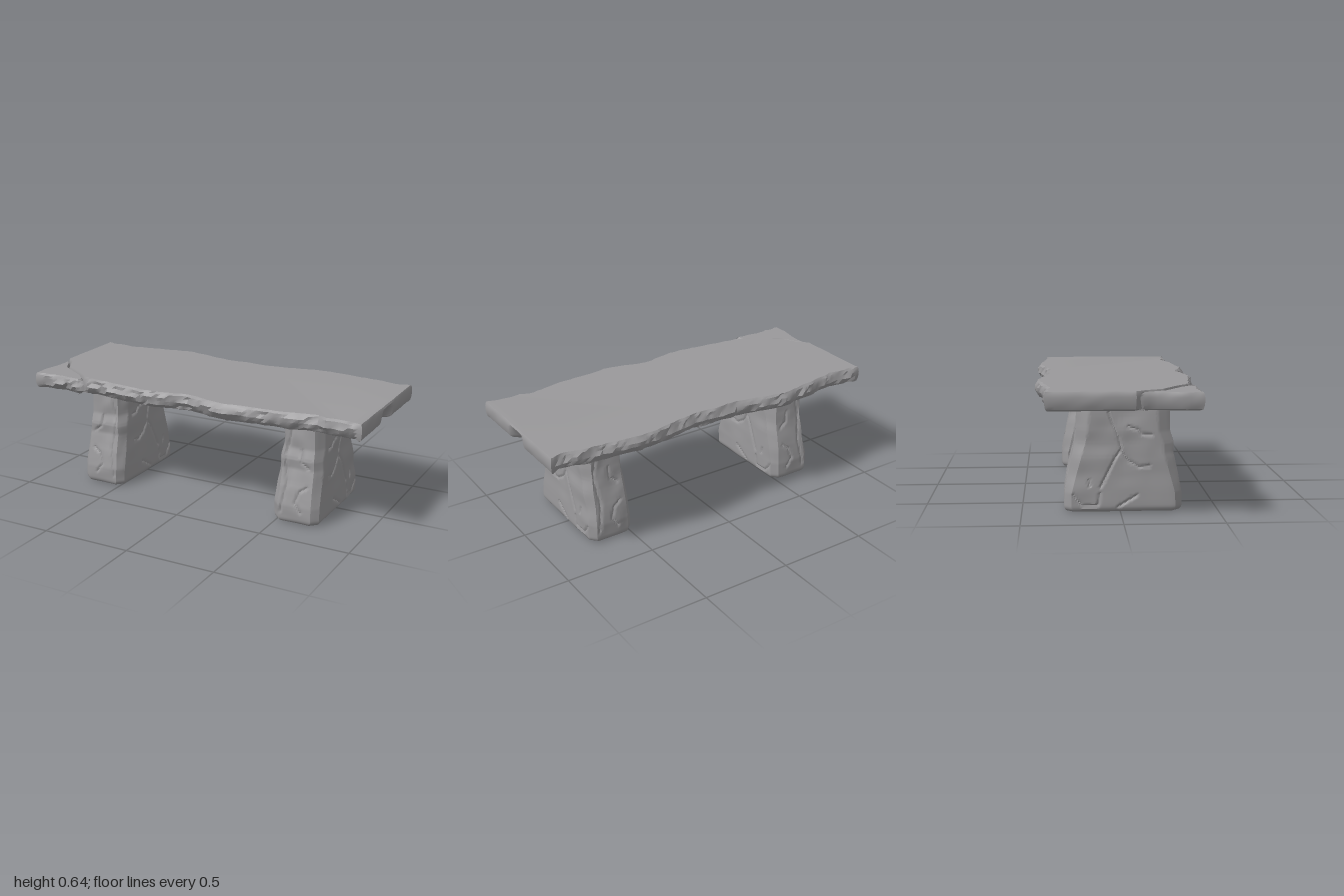
import * as THREE from 'three';
import { toCreasedNormals } from 'three/addons/utils/BufferGeometryUtils.js';

const stone = new THREE.MeshStandardMaterial({ color: 0x9a999b });
stone.name = 'grey stone';

const { lerp, clamp, smoothstep } = THREE.MathUtils;
const hash = (a, b) => {
  const s = Math.sin(a * 127.1 + b * 311.7) * 43758.5453;
  return (s - Math.floor(s)) * 2 - 1;
};
// Smooth 2D noise in -1..1
function noise(x, y) {
  const i = Math.floor(x), j = Math.floor(y);
  const u = smoothstep(x - i, 0, 1), v = smoothstep(y - j, 0, 1);
  return lerp(lerp(hash(i, j), hash(i + 1, j), u), lerp(hash(i, j + 1), hash(i + 1, j + 1), u), v);
}

// Skin of stacked rings (bottom to top, clockwise seen from above) with both ends closed
function loft(name, rings, crease) {
  const n = rings[0].length, pos = [], index = [];
  rings.forEach(r => r.forEach(p => pos.push(p.x, p.y, p.z)));
  for (let i = 0; i < rings.length - 1; i++) {
    for (let j = 0; j < n; j++) {
      const a = i * n + j, b = i * n + (j + 1) % n;
      index.push(a, a + n, b, b, a + n, b + n);
    }
  }
  for (const [k, up] of [[0, false], [rings.length - 1, true]]) {
    const flat = rings[k].map(p => new THREE.Vector2(p.x, p.z));
    for (const [a, b, c] of THREE.ShapeUtils.triangulateShape(flat, [])) {
      const area = THREE.ShapeUtils.area([flat[a], flat[b], flat[c]]);
      const t = (area < 0) === up ? [a, b, c] : [a, c, b];
      index.push(...t.map(q => q + k * n));
    }
  }
  const geo = new THREE.BufferGeometry();
  geo.setAttribute('position', new THREE.Float32BufferAttribute(pos, 3));
  geo.setIndex(index);
  const mesh = new THREE.Mesh(toCreasedNormals(geo, crease), stone);
  mesh.name = name;
  return mesh;
}

// Split every side of a closed outline into short steps
function resample(points, step) {
  const out = [];
  points.forEach(([x, z], i) => {
    const [x2, z2] = points[(i + 1) % points.length];
    const n = Math.max(1, Math.round(Math.hypot(x2 - x, z2 - z) / step));
    for (let k = 0; k < n; k++) out.push([lerp(x, x2, k / n), lerp(z, z2, k / n)]);
  });
  return out;
}

// Slab piece: height, inset on the long rough edges, inset on the ends, inset on the fracture
const slabRings = [
  [0.55, 0.04, 0.022, 0], [0.558, 0.026, 0.01, 0], [0.575, 0.01, 0.004, 0], [0.598, 0, 0, 0],
  [0.618, 0.004, 0, 0], [0.635, 0.01, 0.003, 0.002], [0.645, 0.02, 0.008, 0.006],
];
function slab(name, outline, drop) {
  const pts = resample(outline, 0.024), n = pts.length;
  const rings = slabRings.map(([y, rough, end, crack], level) => pts.map(([x, z], j) => {
    const p = pts[(j + n - 1) % n], q = pts[(j + 1) % n];
    const len = Math.hypot(q[0] - p[0], q[1] - p[1]);
    const nx = (q[1] - p[1]) / len, nz = -(q[0] - p[0]) / len;
    let inset = crack;
    if (Math.abs(x) > 0.97) {
      // broad scoop broken out of the lower edge at one end
      const scoop = x > 0 ? smoothstep(z, -0.06, -0.03) * (1 - smoothstep(z, 0.05, 0.105)) : 0;
      inset = end + 0.002 * noise(z * 14, y * 30) + 0.05 * scoop * clamp((0.635 - y) / 0.075, 0, 1);
    } else if (Math.abs(z) > 0.355) {
      const chip = 0.009 * noise(x * 22 + y * 20, y * 45 + z * 3) + 0.005 * hash(Math.floor(x * 28), level + z);
      inset = rough + chip * (level === 0 || level === 6 ? 0.6 : 1);
    }
    return new THREE.Vector3(x - nx * inset, y - drop * (y - 0.55) / 0.095, z - nz * inset);
  }));
  return loft(name, rings, 0.5);
}

const backEdge = [[-0.998, -0.38], [-0.9, -0.385], [-0.8, -0.372], [-0.61, -0.405], [-0.42, -0.432], [-0.32, -0.418],
  [-0.21, -0.392], [-0.13, -0.378], [0, -0.38], [0.14, -0.372], [0.25, -0.388], [0.4, -0.418], [0.49, -0.432],
  [0.65, -0.412], [0.83, -0.392], [0.91, -0.378], [0.998, -0.38]];
const frontEdge = [[0.998, 0.392], [0.9, 0.385], [0.8, 0.385], [0.75, 0.37], [0.68, 0.378], [0.6, 0.4], [0.5, 0.405],
  [0.35, 0.412], [0.25, 0.427], [0.17, 0.422], [0.08, 0.395], [0, 0.375], [-0.1, 0.395], [-0.2, 0.415], [-0.3, 0.412],
  [-0.4, 0.402], [-0.5, 0.388], [-0.6, 0.372]];

// Cracks on the broad leg faces as (z, y), and on the narrow faces as (x, y)
const broadCracks = [
  [[-0.06, 0.507], [-0.04, 0.455], [-0.01, 0.385], [0.005, 0.323], [-0.03, 0.27], [-0.07, 0.19], [-0.1, 0.13]],
  [[0.005, 0.316], [0.04, 0.263], [0.095, 0.23], [0.147, 0.237]],
  [[0.04, 0.437], [0.09, 0.42], [0.107, 0.398], [0.158, 0.393]],
  [[0.084, 0.086], [0.037, 0.058], [-0.014, 0.026]],
  [[-0.105, 0.095], [-0.114, 0.035], [-0.195, 0.033], [-0.24, 0.09]],
  [[-0.16, 0.165], [-0.155, 0.135]],
];
const narrowCracks = [
  [[-0.04, 0.54], [-0.075, 0.37], [-0.057, 0.21], [-0.08, 0.06]],
  [[0.013, 0.4], [0.02, 0.34], [0.06, 0.31]],
  [[0.06, 0.21], [0.02, 0.18], [0, 0.12], [0.035, 0.07]],
];
function groove(cracks, u, v) {
  let best = 1;
  for (const line of cracks) {
    for (let i = 0; i < line.length - 1; i++) {
      const [ax, ay] = line[i], dx = line[i + 1][0] - ax, dy = line[i + 1][1] - ay;
      const t = clamp(((u - ax) * dx + (v - ay) * dy) / (dx * dx + dy * dy), 0, 1);
      best = Math.min(best, Math.hypot(u - ax - dx * t, v - ay - dy * t));
    }
  }
  return 0.008 * Math.max(0, 1 - best / 0.011);
}

// Leg outline by height: y, front z, back z, half width, corner cut along z
const legProfile = [[0, 0.312, -0.283, 0.128, 0.035], [0.1, 0.31, -0.282, 0.129, 0.035], [0.2, 0.293, -0.266, 0.126, 0.045],
  [0.3, 0.268, -0.243, 0.124, 0.05], [0.35, 0.272, -0.233, 0.122, 0.055], [0.41, 0.252, -0.224, 0.12, 0.06],
  [0.47, 0.25, -0.22, 0.117, 0.062], [0.552, 0.249, -0.215, 0.112, 0.065]];
function legAt(y) {
  let i = 0;
  while (i < legProfile.length - 2 && y > legProfile[i + 1][0]) i++;
  const a = legProfile[i], b = legProfile[i + 1], t = (y - a[0]) / (b[0] - a[0]);
  return a.map((v, k) => lerp(v, b[k], t));
}

function leg(name, side) {
  const heights = [0, 0.003, 0.009, 0.018];
  for (let i = 0; i <= 60; i++) heights.push(lerp(0.028, 0.552, i / 60));
  const counts = [22, 6, 58, 6, 22, 6, 58, 6];
  const rings = heights.map(y => {
    const round = 0.022 * (1 - Math.sqrt(1 - Math.max(0, 1 - y / 0.028) ** 2));
    let [, f, b, h, cz] = legAt(y);
    f -= round; b += round; h -= round;
    const cx = 0.034, ring = [];
    const corners = [[-h + cx, b], [h - cx, b], [h, b + cz], [h, f - cz], [h - cx, f], [-h + cx, f], [-h, f - cz], [-h, b + cz]];
    corners.forEach(([x0, z0], s) => {
      const [x1, z1] = corners[(s + 1) % 8];
      const len = Math.hypot(x1 - x0, z1 - z0), nx = (z1 - z0) / len, nz = (x0 - x1) / len;
      for (let k = 0; k < counts[s]; k++) {
        const x = lerp(x0, x1, k / counts[s]), z = lerp(z0, z1, k / counts[s]);
        let push = 0.005 * noise(x * 14 + z * 9 + 5, y * 13 + x * 4);
        if (s === 0 || s === 4) push -= groove(narrowCracks, s ? x : -x, y);
        if (s === 2 || s === 6) push -= groove(broadCracks, z, y);
        ring.push(new THREE.Vector3(side * (0.611 + x + nx * push), y, z + nz * push));
      }
    });
    return side > 0 ? ring : ring.reverse();
  });
  return loft(name, rings, 0.6);
}

export function createModel() {
  const bench = new THREE.Group();
  bench.name = 'stoneBench';
  // Seat slab with one corner cracked away
  bench.add(slab('seatSlab', [...backEdge, ...frontEdge, [-0.652, 0.376], [-0.75, 0.29], [-0.895, 0.2], [-0.945, 0.11], [-0.996, 0.06]], 0));
  bench.add(slab('crackedCorner', [[-0.985, 0.08], [-0.95, 0.118], [-0.9, 0.205], [-0.754, 0.296], [-0.66, 0.378],
    [-0.7, 0.398], [-0.8, 0.39], [-0.9, 0.394], [-0.996, 0.388], [-0.998, 0.3], [-0.982, 0.2], [-0.978, 0.14]], 0.006));
  // Flared legs, mirrored
  bench.add(leg('leftLeg', 1), leg('rightLeg', -1));
  return bench;
}
